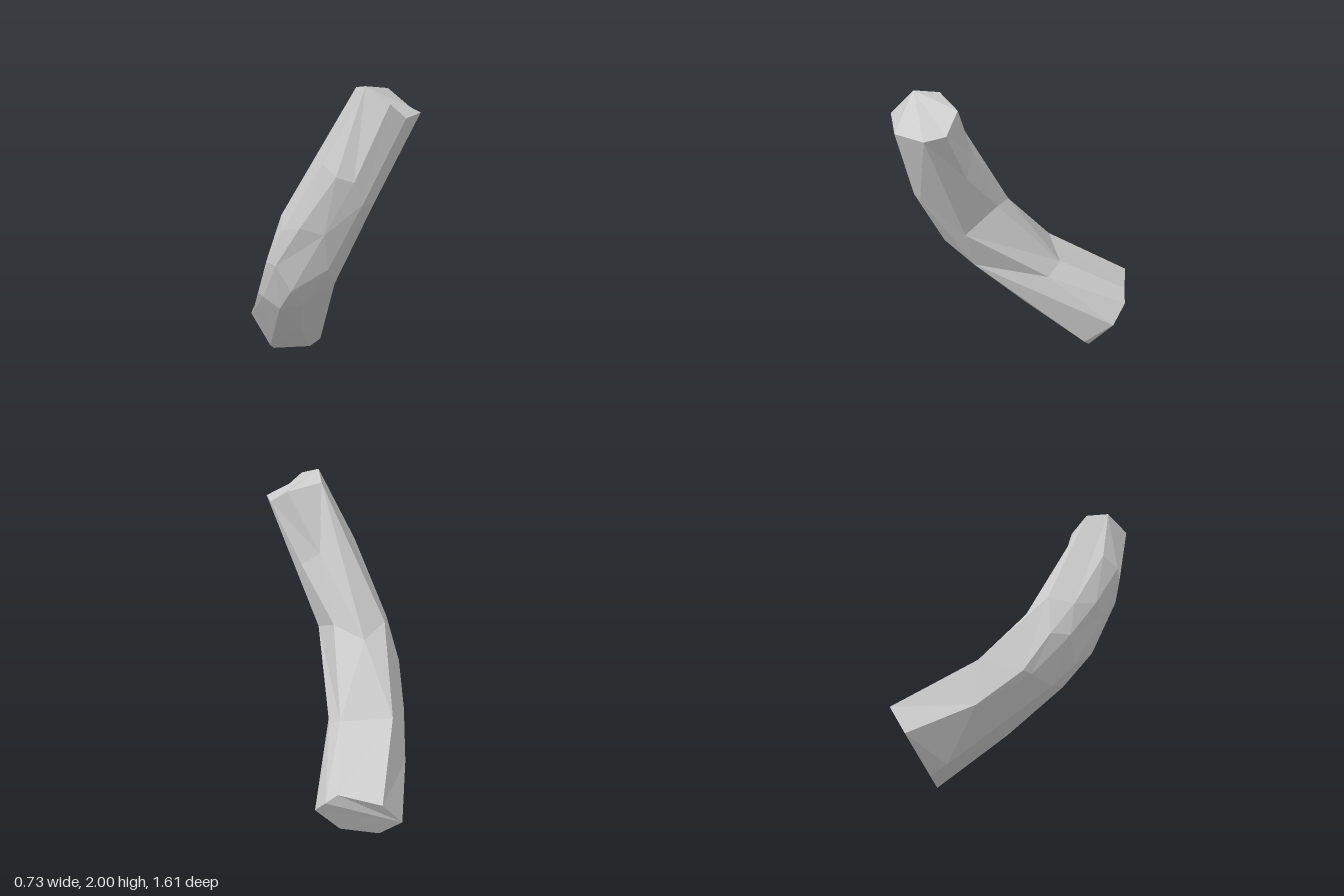
import * as THREE from 'three';

// Corners of the upper end, clockwise seen from above
const upper = {
  left: [0.01, 2, 0.63], backLeft: [0.03, 1.97, 0.48], back: [0.25, 1.945, 0.455],
  right: [0.34, 1.845, 0.56], frontRight: [0.335, 1.835, 0.69],
  front: [0.175, 1.835, 0.805], frontLeft: [0.08, 1.92, 0.79],
};
// Corners of the lower end
const lower = {
  left: [-0.14, 0.21, -0.74], back: [0.01, 0.42, -0.805], backRight: [0.25, 0.45, -0.67],
  upperRight: [0.32, 0.38, -0.64], right: [0.36, 0.26, -0.54],
  bottomRight: [0.18, 0.01, -0.46], bottom: [-0.05, 0, -0.56],
};
// Corners shared by neighbouring rails along the bend
const shoulder = [-0.11, 1.09, 0], hollow = [0.12, 0.69, -0.26];
const saddle = [-0.2, 0.7, -0.33], heel = [-0.11, 0.06, -0.48];

// Lengthwise rails from the upper end to the lower end
const rails = [
  [upper.left, [-0.19, 1.55, 0.5], [-0.33, 1.1, 0.24], [-0.365, 0.86, 0.07],
    [-0.35, 0.6, -0.1], [-0.28, 0.38, -0.36], lower.left],
  [upper.left, [-0.27, 1.15, 0.09], saddle, lower.back],
  [upper.backLeft, shoulder, saddle, lower.back],
  [upper.back, [0.09, 1.57, 0.31], shoulder, hollow, lower.backRight],
  [upper.right, [0.19, 1.47, 0.39], [0.05, 1.15, 0.14], hollow, lower.upperRight],
  [upper.frontRight, [0.09, 1.02, 0.37], [0.165, 0.62, -0.16], lower.right],
  [upper.front, [0.07, 1.32, 0.64], [0, 0.73, 0.28], [0.23, 0.08, -0.4], lower.bottomRight],
  [upper.frontLeft, [-0.01, 1.32, 0.65], [-0.12, 0.88, 0.43], [-0.18, 0.6, 0.21],
    [-0.06, 0.3, -0.1], lower.bottom],
  [upper.frontLeft, [-0.07, 1.46, 0.66], [-0.18, 1.12, 0.5], [-0.28, 0.71, 0.25],
    [-0.29, 0.55, 0.1], heel, lower.bottom],
  [upper.left, [-0.16, 1.49, 0.61], [-0.29, 1.15, 0.4], [-0.36, 0.87, 0.2],
    [-0.34, 0.59, -0.04], heel, lower.bottom],
];

// Add a triangle unless two of its corners coincide
function addTriangle(out, a, b, c) {
  if (a !== b && b !== c && c !== a) out.push(...a, ...b, ...c);
}

// Fill the strip between two rails, stepping down whichever rail lags behind
function bridge(out, a, b) {
  const along = (p) => (p ? p[1] + 0.7 * p[2] : -Infinity);
  let i = 0, j = 0;
  while (i < a.length - 1 || j < b.length - 1) {
    if (along(a[i + 1]) >= along(b[j + 1])) {
      addTriangle(out, a[i], b[j], a[i + 1]);
      i++;
    } else {
      addTriangle(out, a[i], b[j], b[j + 1]);
      j++;
    }
  }
}

function makeMesh(name, positions, material) {
  const geometry = new THREE.BufferGeometry();
  geometry.setAttribute('position', new THREE.Float32BufferAttribute(positions, 3));
  geometry.computeVertexNormals();
  const mesh = new THREE.Mesh(geometry, material);
  mesh.name = name;
  return mesh;
}

export function createModel() {
  const grey = new THREE.MeshStandardMaterial({ color: 0xcccccc, flatShading: true });
  grey.name = 'light grey';
  const side = [], top = [], bottom = [];

  // Faceted bent side wall
  rails.forEach((rail, k) => bridge(side, rail, rails[(k + 1) % rails.length]));

  // Flat ends as fans
  const starts = rails.map((r) => r[0]);
  const ends = rails.map((r) => r[r.length - 1]);
  for (let k = 1; k < rails.length - 1; k++) {
    addTriangle(top, starts[0], starts[k + 1], starts[k]);
    addTriangle(bottom, ends[0], ends[k], ends[k + 1]);
  }

  const group = new THREE.Group();
  group.name = 'bentFacetedTube';
  group.add(makeMesh('bentBody', side, grey), makeMesh('upperEnd', top, grey), makeMesh('lowerEnd', bottom, grey));
  return group;
}
